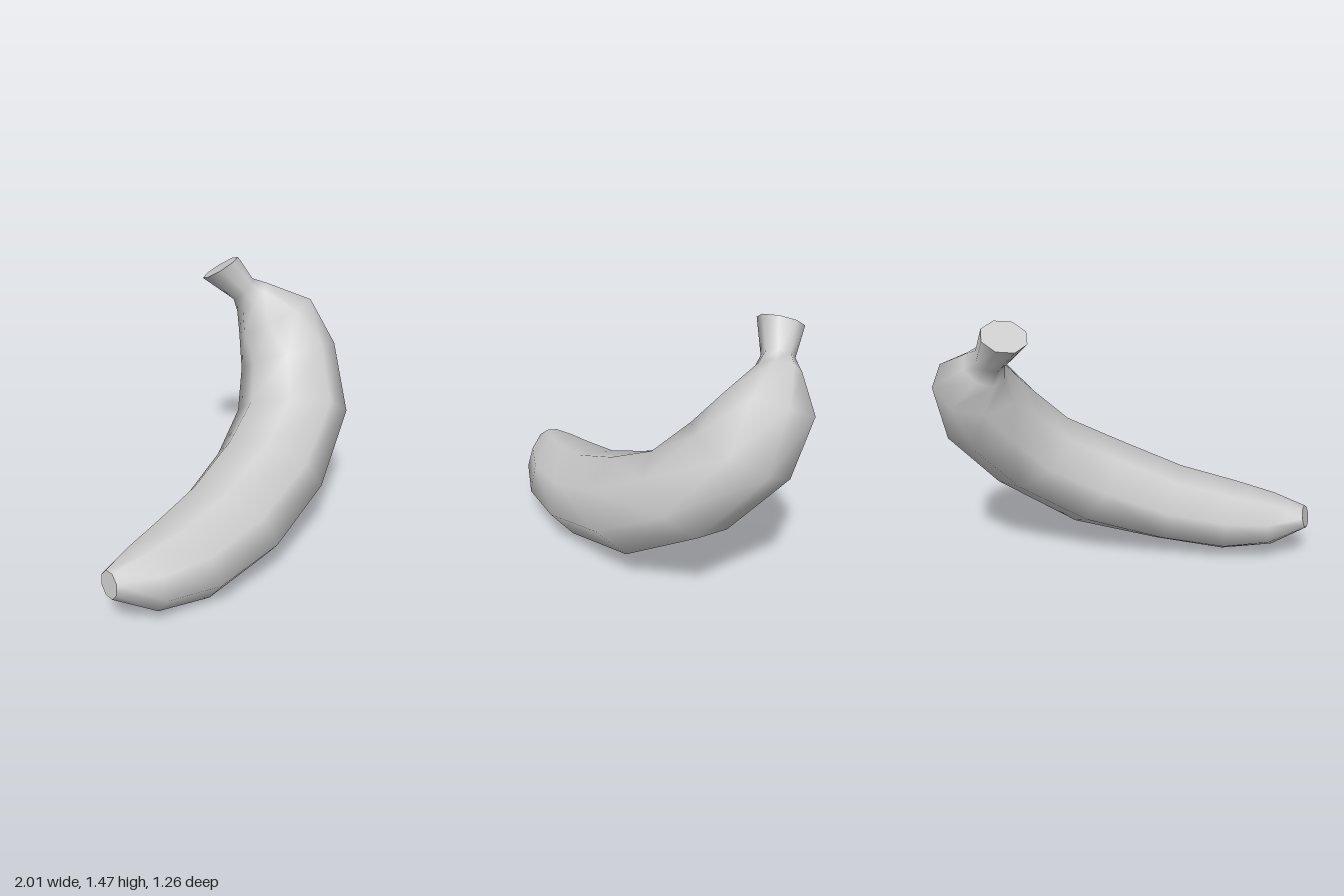
import * as THREE from 'three';

const SIDES = 8;
const BODY_RINGS = 7;

// Rings from blossom tip to stem: centre x, y, z, long and short radius,
// pitch in degrees and x lean of the line across the curve of the fruit
const RINGS = [
  [-0.983, 0.268, 0.38, 0.08, 0.065, 32, 0.07],
  [-0.79, 0.222, 0.39, 0.192, 0.158, 35, 0.07],
  [-0.53, 0.213, 0.373, 0.263, 0.213, 34, 0.07],
  [-0.17, 0.268, 0.312, 0.303, 0.238, 34, 0.07],
  [0.24, 0.4, 0.182, 0.318, 0.28, 30, 0.07],
  [0.58, 0.62, 0.01, 0.328, 0.275, 28, 0.07],
  [0.727, 0.882, -0.193, 0.297, 0.278, 27, 0.07],
  [0.735, 1.105, -0.333, 0.25, 0.235, 21, -0.16],
  [0.625, 1.225, -0.425, 0.125, 0.12, 28, 0],
  [0.575, 1.28, -0.45, 0.085, 0.085, 32, 0.07],
  [0.453, 1.418, -0.52, 0.123, 0.123, 25, 0.07],
];

// Cut directions of the two flat ends
const TIP_DIR = new THREE.Vector3(0.97, -0.24, 0).normalize();
const STEM_DIR = new THREE.Vector3(-0.42, 1, -0.45).normalize();

function ringPoints(i) {
  const centre = (k) => new THREE.Vector3(...RINGS[k].slice(0, 3));
  const [, , , rLong, rShort, pitch, lean] = RINGS[i];
  const last = RINGS.length - 1;
  // Body rings face the next ring, stem rings the average direction
  const along = i === 0 ? TIP_DIR : i === last ? STEM_DIR
    : centre(i + 1).sub(centre(i < BODY_RINGS ? i : i - 1)).normalize();
  const p = THREE.MathUtils.degToRad(pitch);
  const across = new THREE.Vector3(lean, Math.sin(p), Math.cos(p)).normalize();
  const outer = along.clone().cross(across).normalize();
  // The oval section lies diagonally between the two directions
  const long = across.clone().add(outer).normalize();
  const short = outer.clone().sub(across).normalize();
  return Array.from({ length: SIDES }, (_, j) => {
    const a = (j / SIDES) * Math.PI * 2;
    return centre(i)
      .addScaledVector(long, Math.cos(a) * rLong)
      .addScaledVector(short, Math.sin(a) * rShort);
  });
}

function makeGeometry(points, index) {
  const geometry = new THREE.BufferGeometry().setFromPoints(points);
  geometry.setIndex(index);
  geometry.computeVertexNormals();
  return geometry;
}

// Smooth skin lofted through all rings
function skinGeometry(rings) {
  const index = [];
  for (let i = 0; i < rings.length - 1; i++) {
    for (let j = 0; j < SIDES; j++) {
      const a = i * SIDES + j;
      const b = i * SIDES + ((j + 1) % SIDES);
      index.push(a, b, b + SIDES, a, b + SIDES, a + SIDES);
    }
  }
  return makeGeometry(rings.flat(), index);
}

// Flat fan closing one end
function capGeometry(ring, flip) {
  const index = [];
  for (let j = 1; j < SIDES - 1; j++) {
    index.push(0, ...(flip ? [j + 1, j] : [j, j + 1]));
  }
  return makeGeometry(ring, index);
}

export function createModel() {
  const group = new THREE.Group();
  group.name = 'banana';
  const material = new THREE.MeshStandardMaterial({ color: 0xcccccc });
  const rings = RINGS.map((_, i) => ringPoints(i));

  // Stand on the ground, centred
  const box = new THREE.Box3().setFromPoints(rings.flat());
  const base = box.getCenter(new THREE.Vector3()).setY(box.min.y);
  rings.flat().forEach((p) => p.sub(base));

  const add = (name, geometry) => {
    const mesh = new THREE.Mesh(geometry, material);
    mesh.name = name;
    group.add(mesh);
  };
  add('skin', skinGeometry(rings));
  add('blossomTip', capGeometry(rings[0], true));
  add('stemEnd', capGeometry(rings[rings.length - 1], false));
  return group;
}
